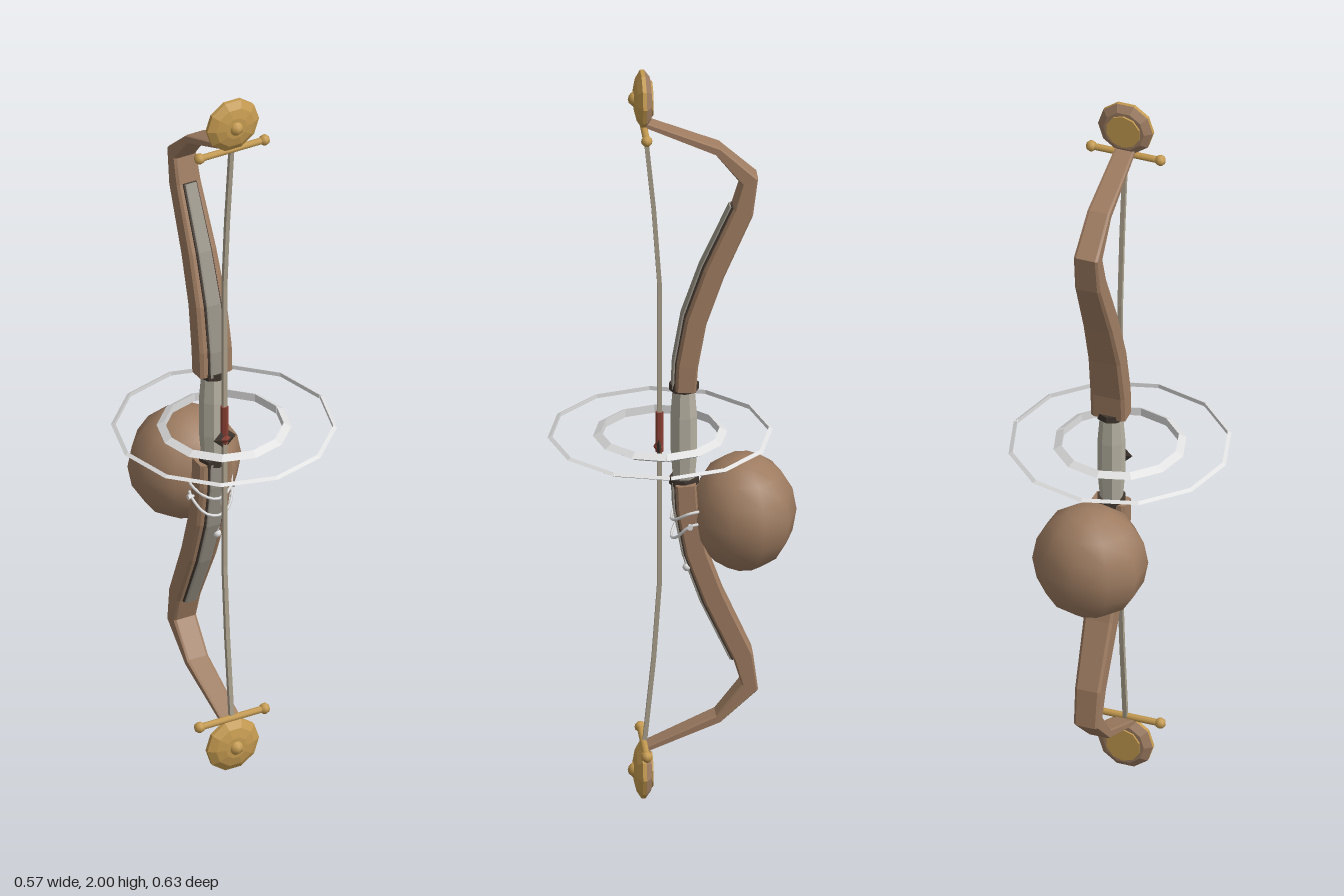
import * as THREE from 'three';

const mat = (name, color, opts = {}) => {
  const m = new THREE.MeshStandardMaterial({ color, ...opts });
  m.name = name;
  return m;
};

// Facet a geometry by splitting its vertices
function flat(geo) {
  const g = geo.index ? geo.toNonIndexed() : geo;
  g.computeVertexNormals();
  return g;
}

// Chamfered bar swept in the yz plane; rows are [y, z, halfWidth, halfDepth]
function sweptBar(rows, chamfer = 0.8) {
  const outline = [[-chamfer, 1], [chamfer, 1], [1, chamfer], [1, -chamfer],
    [chamfer, -1], [-chamfer, -1], [-1, -chamfer], [-1, chamfer]];
  const n = outline.length, pos = [], idx = [];
  rows.forEach(([y, z, w, d], i) => {
    const a = rows[Math.max(i - 1, 0)], b = rows[Math.min(i + 1, rows.length - 1)];
    const len = Math.hypot(b[0] - a[0], b[1] - a[1]);
    const ty = (b[0] - a[0]) / len, tz = (b[1] - a[1]) / len;
    for (const [u, v] of outline) pos.push(u * w, y - tz * v * d, z + ty * v * d);
  });
  for (let i = 0; i < rows.length - 1; i++) {
    for (let j = 0; j < n; j++) {
      const a = i * n + j, b = i * n + (j + 1) % n;
      idx.push(a, b, b + n, a, b + n, a + n);
    }
  }
  const top = (rows.length - 1) * n;
  for (let j = 1; j < n - 1; j++) idx.push(0, j + 1, j, top, top + j, top + j + 1);
  const g = new THREE.BufferGeometry();
  g.setAttribute('position', new THREE.Float32BufferAttribute(pos, 3));
  g.setIndex(idx);
  return flat(g);
}

// Straight round rod between two points
function rod(a, b, r, sides = 6) {
  const p = new THREE.Vector3(...a), q = new THREE.Vector3(...b), d = q.clone().sub(p);
  const g = new THREE.CylinderGeometry(r, r, d.length(), sides);
  g.rotateY(Math.PI / sides);
  g.applyQuaternion(new THREE.Quaternion().setFromUnitVectors(new THREE.Vector3(0, 1, 0), d.normalize()));
  return g.translate(...p.add(q).multiplyScalar(0.5).toArray());
}

export function createModel() {
  const wood = mat('brown wood', 0x9e7c61);
  const gold = mat('gold', 0xc49a50);
  const silver = mat('silver', 0xdedede, { side: THREE.DoubleSide });
  const gripGrey = mat('grip grey', 0xb4afa0);
  const inlayGrey = mat('inlay grey', 0x9a9488);
  const dark = mat('dark binding', 0x40362f);
  const cord = mat('bowstring', 0xaaa08c);
  const red = mat('dark red', 0x8a4034);

  const model = new THREE.Group();
  model.name = 'bow';
  const add = (parent, name, geo, m, x = 0, y = 0, z = 0) => {
    const mesh = new THREE.Mesh(geo, m);
    mesh.name = name;
    mesh.position.set(x, y, z);
    parent.add(mesh);
    return mesh;
  };

  // Limb centre line, measured from the middle of the grip
  const limbRows = [
    [0.13, -0.032, 0.046, 0.026], [0.2, -0.036, 0.046, 0.027], [0.32, -0.058, 0.043, 0.027],
    [0.45, -0.104, 0.039, 0.027], [0.615, -0.178, 0.034, 0.026], [0.7, -0.195, 0.032, 0.022],
    [0.785, -0.115, 0.03, 0.011], [0.865, 0.07, 0.026, 0.006]];

  for (const [side, turn] of [['upper', 0], ['lower', Math.PI]]) {
    const half = new THREE.Group();
    half.name = side + 'Half';
    half.position.y = 1;
    half.rotation.z = turn;
    model.add(half);

    add(half, 'limb', sweptBar(limbRows), wood);

    // Raised grey inlay with thin dark edges along the front of the limb
    const lean = [0, 0.06, 0.35, 0.45, 0.4];
    const strip = (w, out) => sweptBar(limbRows.slice(0, 5).map(([y, z, hw, d], i) =>
      [y + lean[i] * d, z + d * 0.92 + out, hw * w, 0.005]));
    add(half, 'inlayEdge', strip(0.56, 0), dark);
    add(half, 'inlay', strip(0.46, 0.005), inlayGrey);

    // Collar binding grip to limb
    add(half, 'collar', flat(new THREE.CylinderGeometry(0.038, 0.038, 0.018, 8)), dark, 0, 0.13, -0.03);

    // Tip medallion: domed gold disc with a wooden back rim
    const dome = [[0.074, -0.006], [0.074, 0.004], [0.055, 0.016], [0.03, 0.022], [0, 0.023]]
      .map(([r, y]) => new THREE.Vector2(r, y));
    const disc = new THREE.LatheGeometry(dome, 10).rotateY(Math.PI / 10).rotateX(Math.PI / 2);
    add(half, 'medallion', flat(disc), gold, 0, 0.929, 0.075);
    const back = new THREE.CylinderGeometry(0.074, 0.055, 0.014, 10).rotateY(Math.PI / 10).rotateX(Math.PI / 2);
    add(half, 'medallionRim', flat(back), wood, 0, 0.929, 0.062);
    const backCentre = new THREE.CylinderGeometry(0.046, 0.046, 0.008, 10).rotateX(Math.PI / 2);
    add(half, 'medallionBack', flat(backCentre), gold, 0, 0.929, 0.054);
    add(half, 'medallionKnob', new THREE.SphereGeometry(0.02, 8, 6), gold, 0, 0.929, 0.092);

    // Cross bar with ball ends
    add(half, 'crossBar', rod([-0.09, 0.853, 0.072], [0.09, 0.853, 0.072], 0.009, 8), gold);
    for (const s of [-1, 1]) {
      add(half, 'crossBarBall', new THREE.SphereGeometry(0.0145, 8, 6), gold, s * 0.093, 0.853, 0.072);
    }

    // Half of the bowstring
    const path = [[0, 0.032], [0.42, 0.032], [0.62, 0.046], [0.86, 0.07]];
    for (let i = 0; i < path.length - 1; i++) {
      add(half, 'bowstring', flat(rod([0, ...path[i]], [0, ...path[i + 1]], 0.008, 4)), cord);
    }
  }

  // Faceted grip, slightly swollen in the middle
  const gripProfile = [[0.029, -0.125], [0.035, -0.05], [0.035, 0.05], [0.029, 0.125]]
    .map(([r, y]) => new THREE.Vector2(r, y));
  const grip = new THREE.LatheGeometry(gripProfile, 8).rotateY(Math.PI / 8);
  add(model, 'grip', flat(grip), gripGrey, 0, 1, -0.03);

  // Binding and charm in the middle of the string
  add(model, 'stringBinding', flat(new THREE.CylinderGeometry(0.01, 0.01, 0.11, 6)), red, 0, 1.005, 0.032);
  add(model, 'stringCharmEdge', flat(new THREE.OctahedronGeometry(0.032).scale(1, 1, 0.3)), dark, 0, 0.965, 0.034);
  add(model, 'stringCharm', flat(new THREE.OctahedronGeometry(0.024).scale(1, 1, 0.55)), red, 0, 0.965, 0.034);

  // Two thin rings hovering around the grip
  for (const [name, r, t] of [['innerRing', 0.157, 0.013], ['outerRing', 0.2785, 0.0065]]) {
    const ring = new THREE.TorusGeometry(r, t, 3, 12, 6.27).rotateX(Math.PI / 2);
    add(model, name, flat(ring), silver, 0, 1, 0.03);
  }

  // Round gourd hung behind the lower limb
  const gourd = new THREE.SphereGeometry(1, 10, 8).rotateY(Math.PI / 2).scale(0.148, 0.153, 0.135);
  add(model, 'gourd', gourd, wood, 0, 0.777, -0.18);

  // Drooping cords, side studs and pendant that tie the gourd on
  for (const [name, sideY, frontY] of [['upperCord', 0.8, 0.765], ['lowerCord', 0.765, 0.715]]) {
    const droop = new THREE.CatmullRomCurve3([[-0.045, sideY, -0.07], [-0.057, sideY, -0.04],
      [-0.035, frontY + 0.012, -0.008], [0, frontY, 0.002], [0.035, frontY + 0.012, -0.008],
      [0.057, sideY, -0.04], [0.045, sideY, -0.07]].map((p) => new THREE.Vector3(...p)));
    add(model, name, new THREE.TubeGeometry(droop, 16, 0.004, 5), silver);
  }
  for (const s of [-1, 1]) {
    const stud = new THREE.CylinderGeometry(0.008, 0.003, 0.018, 6).rotateZ(-s * Math.PI / 2);
    add(model, 'cordStud', flat(stud), silver, s * 0.057, 0.765, -0.04);
  }
  add(model, 'pendantCord', rod([0.014, 0.79, -0.005], [0.016, 0.64, -0.036], 0.005), silver);
  add(model, 'pendantBead', new THREE.SphereGeometry(0.011, 8, 6), silver, 0.016, 0.635, -0.036);

  return model;
}
